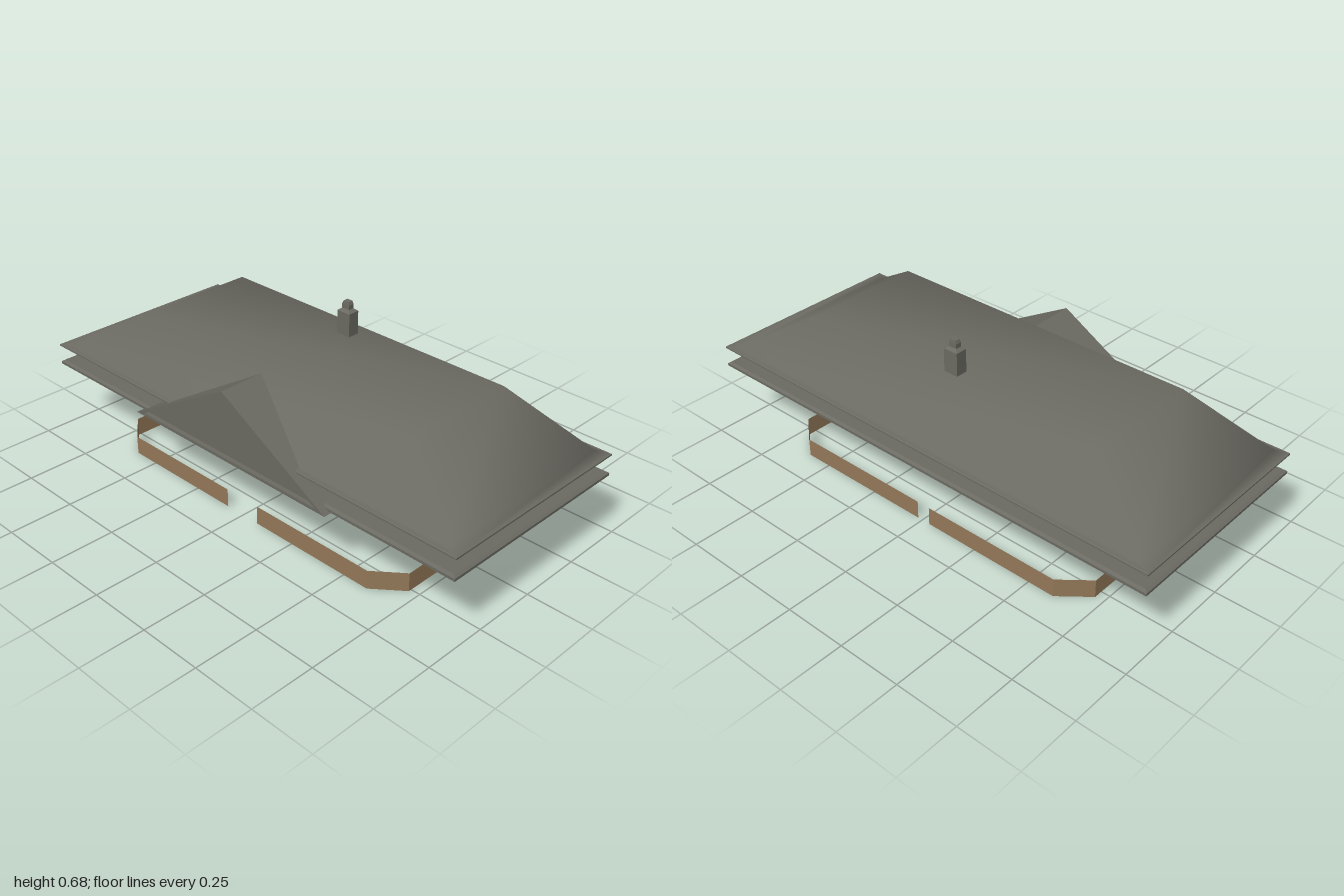
import * as THREE from 'three';

const roofGrey = new THREE.MeshStandardMaterial({ color: 0x6b6a62, side: THREE.DoubleSide });
roofGrey.name = 'roofGrey';
const wallBrown = new THREE.MeshStandardMaterial({ color: 0x937858, side: THREE.DoubleSide });
wallBrown.name = 'wallBrown';

function addMesh(parent, name, geometry, material) {
  const mesh = new THREE.Mesh(geometry, material);
  mesh.name = name;
  parent.add(mesh);
  return mesh;
}

// Rectangular loop: half width, back z, front z, height
const loop = (hx, z0, z1, y) => [[-hx, y, z1], [hx, y, z1], [hx, y, z0], [-hx, y, z0]];

// Skin through a series of rectangular loops, listed from the bottom outward and up
function skin(loops, { smooth = false, cap = false, closed = false } = {}) {
  const positions = loops.flat(2);
  const index = [];
  const n = loops.length;
  for (let i = 0; i < (closed ? n : n - 1); i++) {
    const a = i * 4, b = ((i + 1) % n) * 4;
    for (let j = 0; j < 4; j++) {
      const k = (j + 1) % 4;
      index.push(a + j, a + k, b + k, a + j, b + k, b + j);
    }
  }
  const t = (n - 1) * 4;
  if (cap) index.push(t, t + 1, t + 2, t, t + 2, t + 3);
  let g = new THREE.BufferGeometry();
  g.setAttribute('position', new THREE.Float32BufferAttribute(positions, 3));
  g.setIndex(index);
  if (!smooth) g = g.toNonIndexed();
  g.computeVertexNormals();
  return g;
}

function triangle(Type, halfWidth, bottom, top) {
  const t = new Type();
  t.moveTo(-halfWidth, bottom);
  t.lineTo(halfWidth, bottom);
  t.lineTo(0, top);
  t.closePath();
  return t;
}

export function createModel() {
  const model = new THREE.Group();
  model.name = 'pavilion';

  // Hipped roof with a short flare at the eaves and a flat top
  addMesh(model, 'hippedRoof', skin([
    loop(0.995, -0.42, 0.396, 0.357),
    loop(0.95, -0.4, 0.378, 0.359),
    loop(0.655, -0.262, 0.24, 0.545),
  ], { smooth: true, cap: true }), roofGrey);

  // Thin chamfered rim below the roof
  addMesh(model, 'upperEave', skin([
    loop(0.95, -0.4, 0.378, 0.34),
    loop(0.985, -0.415, 0.39, 0.34),
    loop(1, -0.425, 0.402, 0.349),
    loop(1, -0.425, 0.402, 0.355),
    loop(0.995, -0.42, 0.396, 0.357),
  ]), roofGrey);

  // Flat ring with a rectangular opening
  addMesh(model, 'lowerEave', skin([
    loop(0.655, -0.262, 0.24, 0.27),
    loop(1, -0.425, 0.402, 0.27),
    loop(1, -0.425, 0.402, 0.28),
    loop(0.99, -0.415, 0.392, 0.287),
    loop(0.655, -0.262, 0.24, 0.287),
  ], { closed: true }), roofGrey);

  // Front gable: a hollow triangular frame with a recessed panel
  const gable = new THREE.Group();
  gable.name = 'frontGable';
  model.add(gable);
  const outline = triangle(THREE.Shape, 0.485, 0.266, 0.539);
  outline.holes.push(triangle(THREE.Path, 0.44, 0.278, 0.524));
  const frame = addMesh(gable, 'gableFrame',
    new THREE.ExtrudeGeometry(outline, { depth: 0.213, bevelEnabled: false }), roofGrey);
  frame.position.z = 0.216;
  const panel = addMesh(gable, 'gablePanel',
    new THREE.ShapeGeometry(triangle(THREE.Shape, 0.442, 0.277, 0.526)), roofGrey);
  panel.position.z = 0.412;

  // Chimney with a tapered shoulder and a small pot
  const chimney = addMesh(model, 'chimney', skin([
    loop(0.03, -0.0235, 0.0235, 0.54),
    loop(0.03, -0.0235, 0.0235, 0.636),
    loop(0.017, -0.012, 0.012, 0.646),
    loop(0.017, -0.012, 0.012, 0.663),
    loop(0.012, -0.011, 0.011, 0.675),
  ], { cap: true }), roofGrey);
  chimney.position.z = -0.187;

  // Low wall around an eight-sided plan, with openings in front, back and on the right
  const runs = [
    [[0.075, 0.35], [0.605, 0.35], [0.713, 0.262], [0.713, -0.285], [0.605, -0.375], [0.02, -0.375]],
    [[-0.035, -0.375], [-0.607, -0.375], [-0.715, -0.285], [-0.715, -0.055]],
    [[-0.715, 0.015], [-0.715, 0.262], [-0.607, 0.35], [-0.08, 0.35]],
  ];
  const walls = new THREE.Group();
  walls.name = 'lowWalls';
  model.add(walls);
  const height = 0.073;
  for (const run of runs) {
    for (let i = 0; i < run.length - 1; i++) {
      const [x0, z0] = run[i], [x1, z1] = run[i + 1];
      const wall = addMesh(walls, 'wallSegment',
        new THREE.PlaneGeometry(Math.hypot(x1 - x0, z1 - z0), height), wallBrown);
      wall.position.set((x0 + x1) / 2, height / 2, (z0 + z1) / 2);
      wall.rotation.y = Math.atan2(z0 - z1, x1 - x0);
    }
  }

  return model;
}
